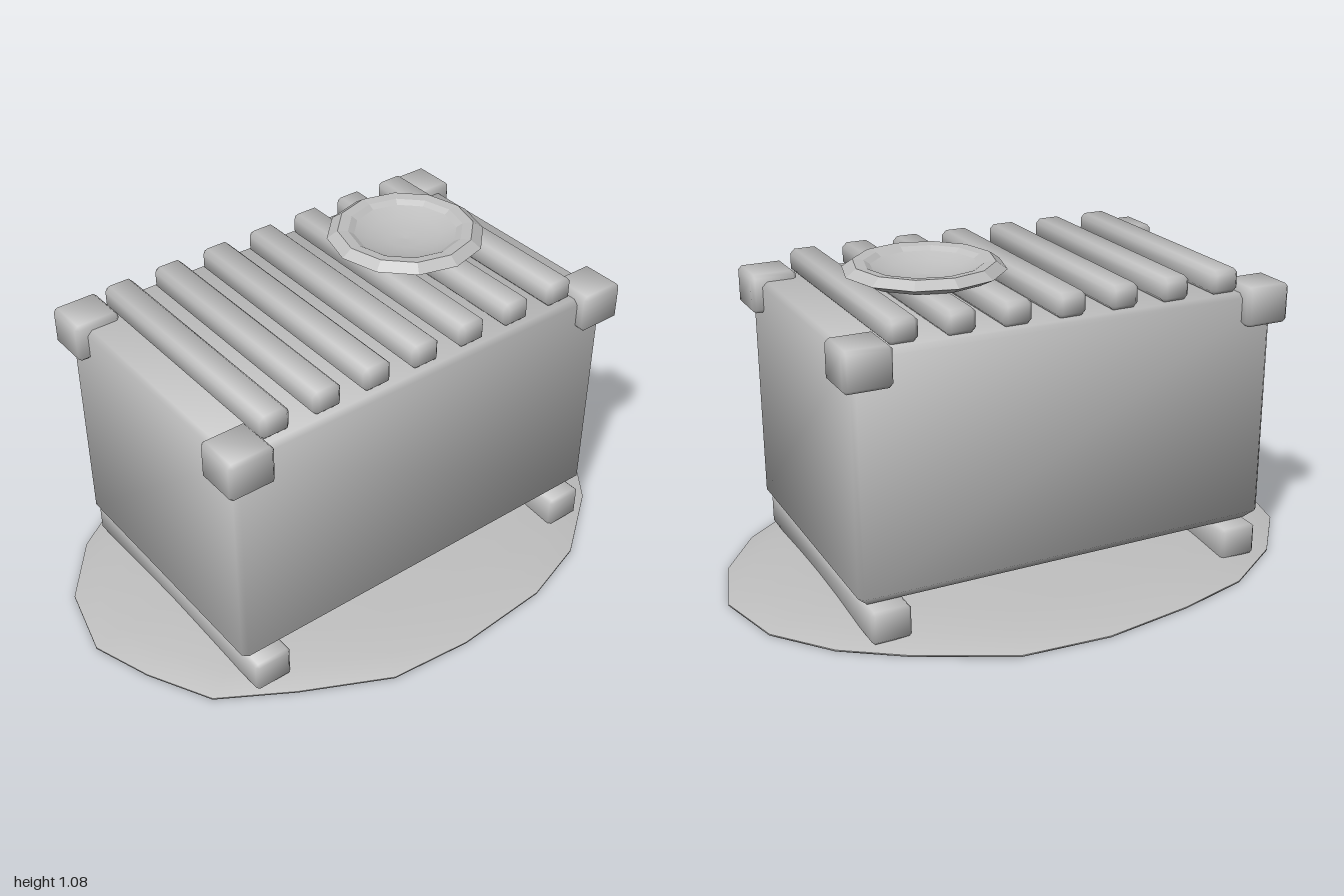
import * as THREE from 'three';
import { ConvexGeometry } from 'three/addons/geometries/ConvexGeometry.js';

// Chamfered box with softly blended normals; the bottom chamfer may be larger
function chamferBox(w, h, d, r, rBottom = r) {
  const half = [w / 2, h / 2, d / 2];
  const points = [];
  for (const sx of [-1, 1]) for (const sy of [-1, 1]) for (const sz of [-1, 1]) {
    const ry = sy < 0 ? rBottom : r;
    points.push(
      new THREE.Vector3(sx * half[0], sy * (half[1] - ry), sz * (half[2] - r)),
      new THREE.Vector3(sx * (half[0] - ry), sy * half[1], sz * (half[2] - ry)),
      new THREE.Vector3(sx * (half[0] - r), sy * (half[1] - ry), sz * half[2]));
  }
  const geo = new ConvexGeometry(points);
  const pos = geo.attributes.position;
  const n = new THREE.Vector3();
  for (let i = 0; i < pos.count; i++) {
    const p = [pos.getX(i), pos.getY(i), pos.getZ(i)];
    // The axis that reaches its full extent leads the normal
    const c = p.map((v, a) => Math.sign(v) * (half[a] - Math.abs(v) < 1e-5 ? 2.5 : 1));
    n.set(...c).normalize();
    geo.attributes.normal.setXYZ(i, n.x, n.y, n.z);
  }
  return geo;
}

// Low irregular mound: rings of the outline shrinking to a raised centre
function moundGeometry() {
  const outline = [
    [1, 0], [0.94, -0.24], [0.79, -0.42], [0.6, -0.55], [0.3, -0.7],
    [0, -0.72], [-0.31, -0.67], [-0.56, -0.6], [-0.78, -0.45], [-0.94, -0.25],
    [-1, 0], [-0.93, 0.2], [-0.82, 0.41], [-0.59, 0.55], [-0.31, 0.69],
    [-0.03, 0.715], [0.31, 0.69], [0.55, 0.61], [0.79, 0.43], [0.93, 0.24]];
  const count = outline.length;
  const rings = [[0, 0.07], [0.4, 0.058], [0.7, 0.046], [0.9, 0.03], [1, 0.005]];
  const build = (levels, up) => {
    const verts = [], idx = [];
    levels.forEach(([s, y]) => outline.forEach(([x, z]) => verts.push(x * s, y, z * s)));
    for (let k = 0; k < levels.length - 1; k++) for (let i = 0; i < count; i++) {
      const a = k * count + i, b = k * count + (i + 1) % count, c = a + count, e = b + count;
      const tris = k === 0 ? [[a, c, e]] : [[a, c, e], [a, e, b]];
      tris.forEach(([p, q, r]) => idx.push(...(up ? [p, q, r] : [p, r, q])));
    }
    const geo = new THREE.BufferGeometry();
    geo.setAttribute('position', new THREE.Float32BufferAttribute(verts, 3));
    geo.setIndex(idx);
    geo.computeVertexNormals();
    // All copies of the centre point straight up or down
    for (let i = 0; i < count; i++) geo.attributes.normal.setXYZ(i, 0, up ? 1 : -1, 0);
    return geo;
  };
  return [build(rings, true), build([[0, 0.004], [0.9, 0.002], [1, 0], [1, 0.005]], false)];
}

export function createModel() {
  const model = new THREE.Group();
  model.name = 'crate';
  const grey = new THREE.MeshStandardMaterial({ color: 0xbfbfbf });
  grey.name = 'plain grey';

  const add = (name, geo, x, y, z) => {
    const mesh = new THREE.Mesh(geo, grey);
    mesh.name = name;
    mesh.position.set(x, y, z);
    model.add(mesh);
    return mesh;
  };

  // Ground mound
  const [top, bottom] = moundGeometry();
  add('moundTop', top, 0, 0, 0);
  add('moundUnderside', bottom, 0, 0, 0);

  // Main box
  add('body', chamferBox(1.445, 0.815, 0.92, 0.016, 0.036), -0.004, 0.5425, 0.003);

  // Runners and corner caps
  const runner = chamferBox(0.13, 0.11, 0.97, 0.01);
  const cap = chamferBox(0.155, 0.13, 0.155, 0.012);
  for (const s of [-1, 1]) {
    add(s > 0 ? 'leftRunner' : 'rightRunner', runner, s * 0.63 - 0.004, 0.077, 0.003);
    for (const t of [-1, 1]) {
      add('cornerCap', cap, s * 0.682 - 0.004, 0.91, t * 0.42 + 0.003);
    }
  }

  // Slats across the lid
  const slat = chamferBox(0.1, 0.08, 0.87, 0.015);
  for (let i = 0; i < 7; i++) add('slat', slat, -0.56 + i * 0.184, 0.988, 0.003);

  // Shallow dish: faceted rim with a smooth bowl inside
  const lathe = (pts) => new THREE.LatheGeometry(pts.map(([x, y]) => new THREE.Vector2(x, y)), 12);
  const rim = lathe([[0, 0], [0.21, 0], [0.26, 0.025], [0.225, 0.05], [0.19, 0.046], [0.17, 0.034]]).toNonIndexed();
  rim.computeVertexNormals();
  add('dishRim', rim, 0.32, 1.03, -0.065);
  add('dishBowl', lathe([[0.17, 0.034], [0.12, 0.016], [0.06, 0.006], [0, 0.003]]), 0.32, 1.03, -0.065);

  return model;
}
